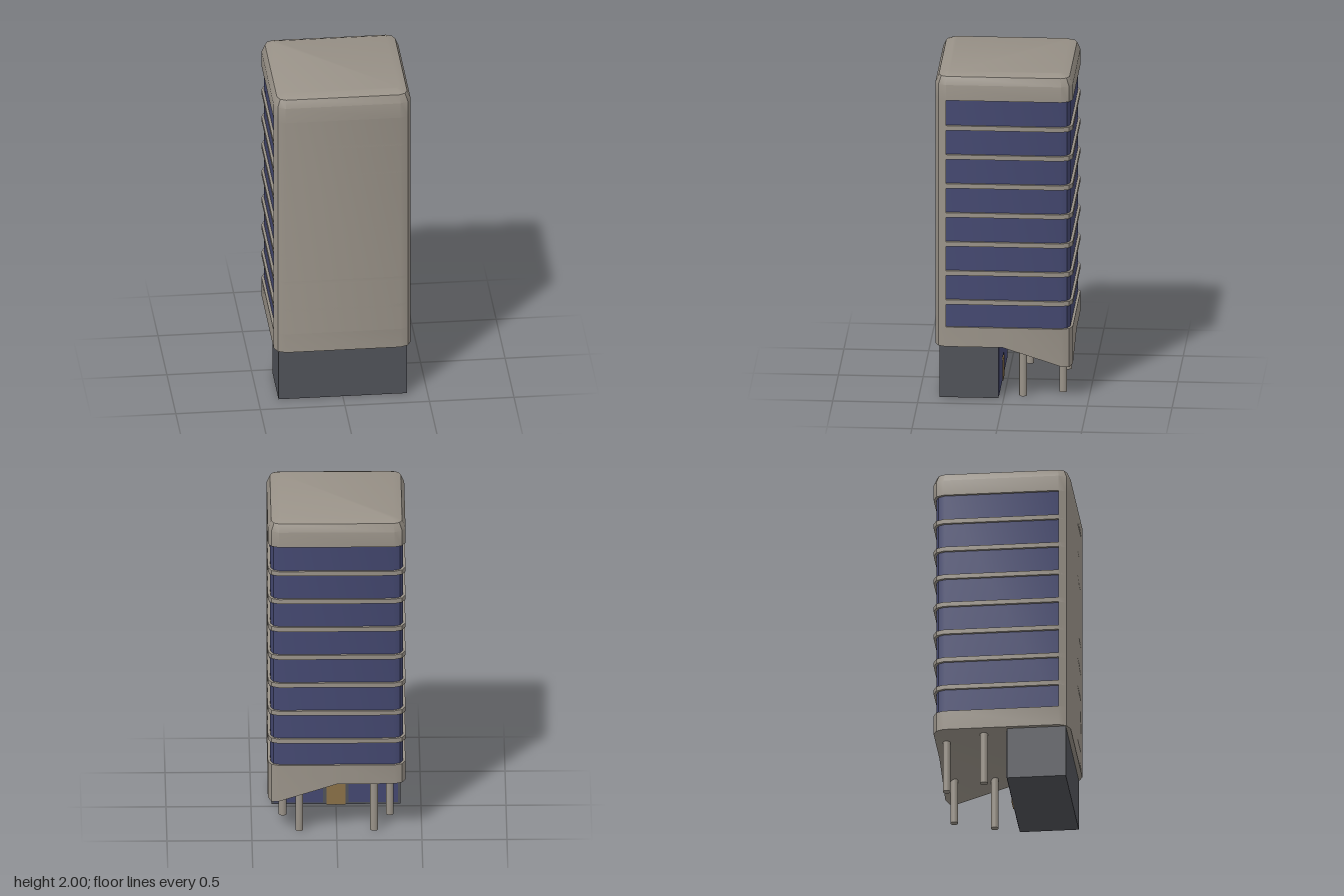
import * as THREE from 'three';
import { toCreasedNormals } from 'three/addons/utils/BufferGeometryUtils.js';

const mat = (color) => new THREE.MeshStandardMaterial({ color });
const concrete = mat(0x999288);
const glass = mat(0x444870);
const wall = mat(0x505258);
const brown = mat(0x8a7048);
const HALF = 0.405;

// Square plan with bevelled corners, inset by d; points run from +x towards +z
function outline(d = 0) {
  const h = HALF - d, r = 0.065 - 0.7 * d, m = h - 0.31 * r;
  const corner = [[h, h - r], [m, m], [h - r, h]];
  const points = [];
  for (let k = 0; k < 4; k++) {
    for (const [x, z] of corner) {
      points.push([[x, z], [-z, x], [-x, -z], [z, -x]][k]);
    }
  }
  return points;
}

const level = (points, y) => points.map(([x, z]) => [x, y, z]);

// Skin closed rows from bottom to top; caps are convex fans
function loft(rows, bottoms = [rows[0]]) {
  const pos = [];
  const tri = (...corners) => corners.forEach((c) => pos.push(...c));
  for (let j = 0; j < rows.length - 1; j++) {
    const low = rows[j], high = rows[j + 1], n = low.length;
    for (let i = 0; i < n; i++) {
      const k = (i + 1) % n;
      tri(low[i], high[i], high[k]);
      tri(low[i], high[k], low[k]);
    }
  }
  for (const b of bottoms) {
    for (let i = 1; i < b.length - 1; i++) tri(b[0], b[i], b[i + 1]);
  }
  const top = rows[rows.length - 1];
  for (let i = 1; i < top.length - 1; i++) tri(top[0], top[i + 1], top[i]);
  const geometry = new THREE.BufferGeometry();
  geometry.setAttribute('position', new THREE.Float32BufferAttribute(pos, 3));
  return toCreasedNormals(geometry, 0.55);
}

const prism = (points, y0, y1) => loft([level(points, y0), level(points, y1)]);

export function createModel() {
  const model = new THREE.Group();
  const add = (name, geometry, material, x = 0, y = 0, z = 0) => {
    const mesh = new THREE.Mesh(geometry, material);
    mesh.name = name;
    mesh.position.set(x, y, z);
    model.add(mesh);
    return mesh;
  };
  // Box given by its lower and upper limits
  const block = (name, material, [x0, x1], [y0, y1], [z0, z1]) =>
    add(name, new THREE.BoxGeometry(x1 - x0, y1 - y0, z1 - z0), material,
      (x0 + x1) / 2, (y0 + y1) / 2, (z0 + z1) / 2);

  // Roof cap with rounded edge
  add('roofCap', loft([
    level(outline(), 1.84), level(outline(), 1.935),
    level(outline(0.02), 1.982), level(outline(0.065), 2),
  ]), concrete);

  // Blank front slab
  add('frontSlab', prism(outline().filter(([, z]) => z > 0.3), 0.44, 1.84), concrete);

  // Glazed core and the floor bands around it
  add('glazing', prism(outline(0.015), 0.43, 1.85), glass);
  for (let i = 0; i < 7; i++) {
    const y = 1.67 - i * 0.1792;
    add('floorBand', prism(outline(), y - 0.014, y + 0.014), concrete);
  }

  // Skirt: its underside folds along a diagonal and drops to one back corner
  const plan = outline();
  plan.splice(9, 0, [-0.005, -HALF]);
  plan.push([HALF, 0.005]);
  const hem = plan.map(([x, z]) => [x, 0.32 - 0.32 * Math.max(0, x - z - 0.4), z]);
  const flat = hem.filter(([x, , z]) => x - z < 0.401);
  const dropped = hem.filter(([x, , z]) => x - z > 0.399);
  add('skirt', loft([hem, level(plan, 0.44)], [flat, dropped]), concrete);

  // Ground floor block with glazed lobby at the back
  block('podium', wall, [-0.38, 0.38], [0, 0.325], [0.032, 0.38]);
  for (const s of [-1, 1]) {
    const pane = block('lobbyWindow', glass, [0.075, 0.365], [0.012, 0.308], [0.028, 0.04]);
    pane.position.x *= s;
  }
  block('transomWindow', glass, [-0.06, 0.06], [0.145, 0.308], [0.028, 0.04]);
  block('door', brown, [-0.055, 0.055], [0, 0.13], [0.025, 0.04]);

  // Columns under the overhang
  const column = new THREE.CylinderGeometry(0.023, 0.023, 0.33, 16);
  for (const [x, z] of [[0.315, -0.11], [0.22, -0.34]]) {
    for (const s of [-1, 1]) add('column', column, concrete, s * x, 0.165, z);
  }
  return model;
}
